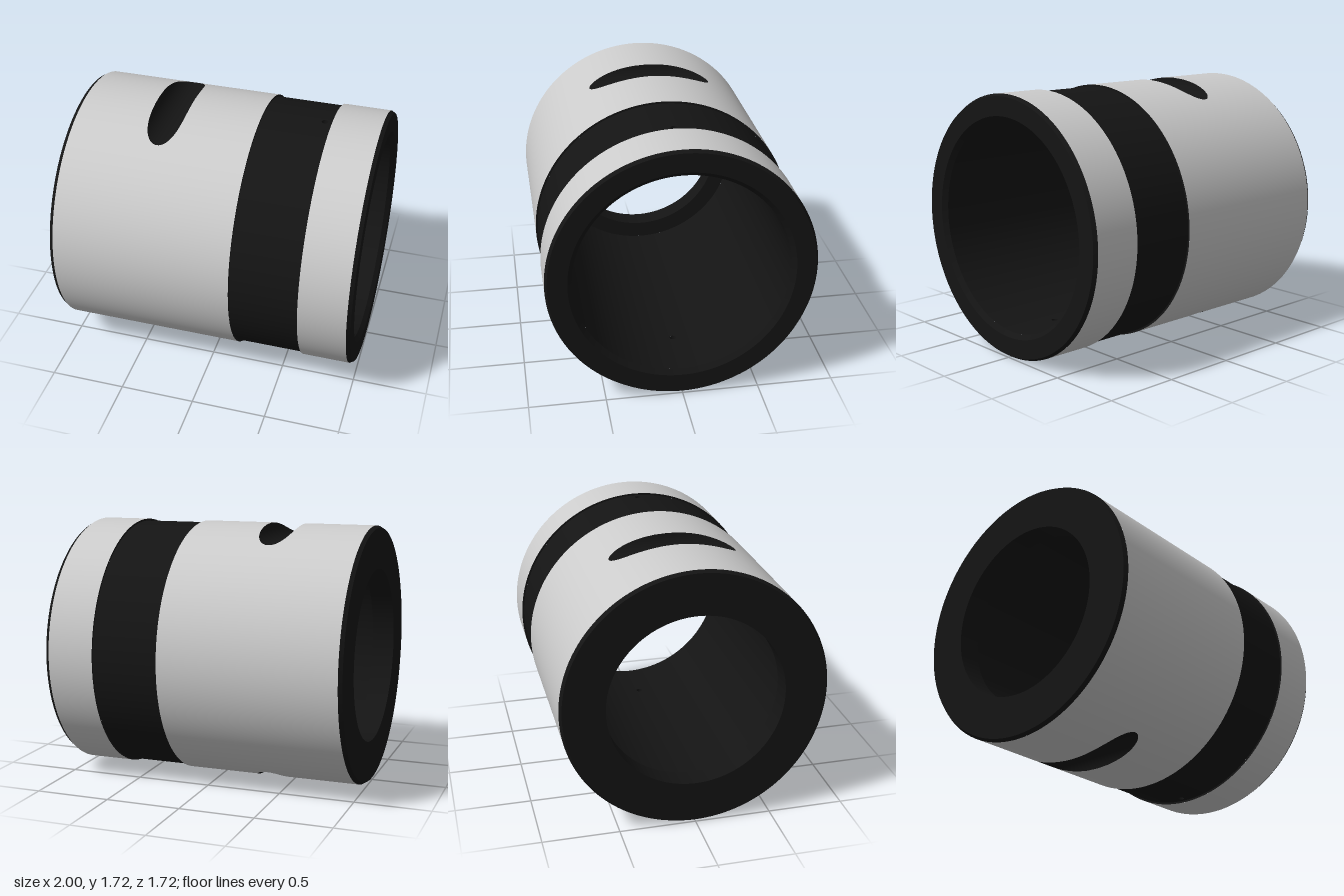
import * as THREE from 'three';
import { toCreasedNormals } from 'three/addons/utils/BufferGeometryUtils.js';

const R = 0.86, GROOVE_R = 0.847, BORE_R = 0.69, LIP_R = 0.575;
const SLOT = { x: -0.385, r: 0.118, axis: R + 0.01 };
const HOLE = { x: 0.61, r: 0.021 };

// Surface over a grid: point(u index, v index) -> [x, y, z]
function grid(nu, nv, point, inward = false) {
  const pos = [], idx = [];
  for (let i = 0; i <= nu; i++) for (let j = 0; j <= nv; j++) pos.push(...point(i, j));
  for (let i = 0; i < nu; i++) for (let j = 0; j < nv; j++) {
    const a = i * (nv + 1) + j, b = a + nv + 1;
    if (inward) idx.push(a, b + 1, b, a, a + 1, b + 1);
    else idx.push(a, b, b + 1, a, b + 1, a + 1);
  }
  const g = new THREE.BufferGeometry();
  g.setAttribute('position', new THREE.Float32BufferAttribute(pos, 3));
  g.setIndex(idx);
  g.computeVertexNormals();
  return g;
}

// Stations along x across an opening, bunched at its ends
const stations = (x, half, n = 32) =>
  Array.from({ length: n + 1 }, (_, i) => x - half * Math.cos((Math.PI * i) / n));

// Half cylinder wall (side 0 = front, 1 = back), parted at top and bottom by halfWidth(x)
function wall(radius, xs, halfWidth, side, inward) {
  const n = 96, s = inward ? -1 : 1;
  const g = grid(xs.length - 1, n, (i, j) => {
    const a0 = Math.acos(Math.min(1, halfWidth(xs[i]) / radius));
    const a = side * Math.PI + a0 * (2 * j / n - 1);
    return [xs[i], radius * Math.sin(a), radius * Math.cos(a)];
  }, inward);
  const p = g.attributes.position, normal = g.attributes.normal;
  for (let i = 0; i < p.count; i++) {
    normal.setXYZ(i, 0, s * p.getY(i) / radius, s * p.getZ(i) / radius);
  }
  return g;
}

// Ring-shaped faces turned around the x axis, points are [radius, x]
function turned(points) {
  const g = new THREE.LatheGeometry(points.map(([r, x]) => new THREE.Vector2(r, x)), 160);
  return toCreasedNormals(g.rotateZ(-Math.PI / 2), 0.4);
}

export function createModel() {
  const model = new THREE.Group();
  model.name = 'bushing';
  const sleeve = new THREE.Group();
  sleeve.name = 'sleeve';
  sleeve.position.y = R;
  model.add(sleeve);

  const grey = new THREE.MeshStandardMaterial({ color: 0xcccccc });
  const black = new THREE.MeshStandardMaterial({ color: 0x141414 });
  const add = (name, geometry, material) => {
    const mesh = new THREE.Mesh(geometry, material);
    mesh.name = name;
    sleeve.add(mesh);
    return mesh;
  };

  // Slot floor height and the slot's half width where it meets the outer wall
  const slotHalf = Math.sqrt(SLOT.r ** 2 - (SLOT.axis - R) ** 2);
  const slotFloor = x => SLOT.axis - Math.sqrt(Math.max(0, SLOT.r ** 2 - (x - SLOT.x) ** 2));
  const slotWidth = x => Math.abs(x - SLOT.x) >= slotHalf ? 0
    : Math.sqrt(Math.max(0, R * R - slotFloor(x) ** 2));
  const holeWidth = x => Math.sqrt(Math.max(0, HOLE.r ** 2 - (x - HOLE.x) ** 2));
  const slotXs = stations(SLOT.x, slotHalf);
  const holeXs = stations(HOLE.x, HOLE.r, 16);

  // Outer walls, groove and bore, each as a front and a back half
  for (const side of [0, 1]) {
    const half = side ? 'Back' : 'Front';
    add('bodyWall' + half, wall(R, [-0.975, ...slotXs, 0.21], slotWidth, side), grey);
    add('collarWall' + half, wall(R, [0.66, 0.975], () => 0, side), grey);
    add('grooveFloor' + half, wall(GROOVE_R, [0.21, ...holeXs, 0.66], holeWidth, side), black);
    add('bore' + half, wall(BORE_R, [-0.85, ...holeXs, 0.97], holeWidth, side, true), black);
  }

  // Chamfered ends, inner lip and groove shoulders
  add('openEnd', turned([[R, 0.975], [0.845, 1], [0.72, 1], [BORE_R, 0.97]]), black);
  add('lipEnd', turned([[BORE_R, -0.85], [LIP_R, -0.85], [LIP_R, -1], [0.845, -1], [R, -0.975]]), black);
  add('grooveShoulderLeft', turned([[GROOVE_R, 0.66], [R, 0.66]]), black);
  add('grooveShoulderRight', turned([[R, 0.21], [GROOVE_R, 0.21]]), black);

  // Round-bottomed cross slots and oil holes at top and bottom
  const slot = grid(slotXs.length - 1, 8, (i, j) =>
    [slotXs[i], slotFloor(slotXs[i]), slotWidth(slotXs[i]) * (1 - j / 4)]);
  const hole = new THREE.CylinderGeometry(HOLE.r, HOLE.r, GROOVE_R - BORE_R, 32, 1, true);
  hole.translate(HOLE.x, (GROOVE_R + BORE_R) / 2, 0);
  const holeMaterial = black.clone();
  holeMaterial.side = THREE.BackSide;
  for (const [place, turn] of [['Top', 0], ['Bottom', Math.PI]]) {
    add('slot' + place, slot, black).rotation.x = turn;
    add('oilHole' + place, hole, holeMaterial).rotation.x = turn;
  }
  return model;
}
